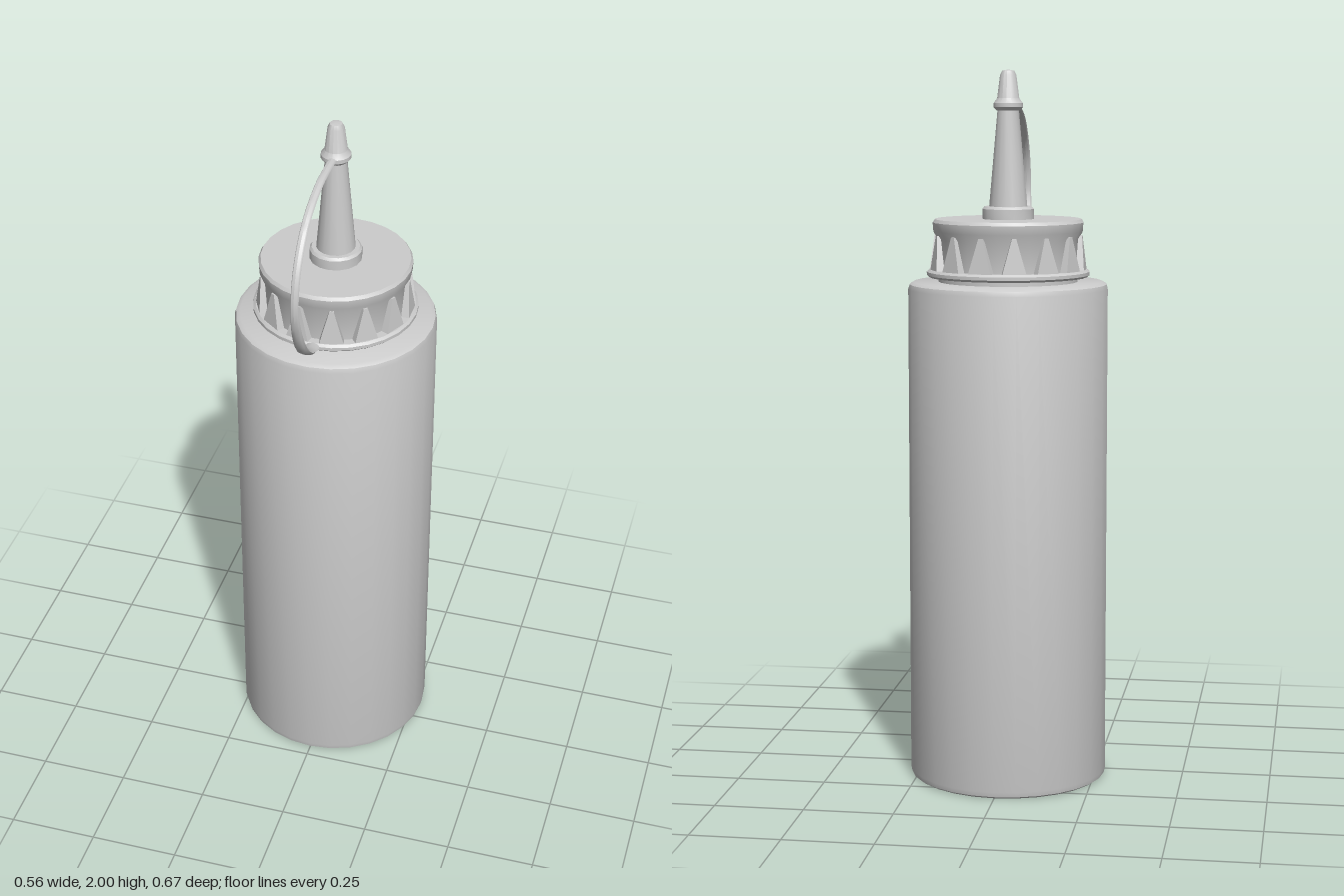
import * as THREE from 'three';
import { toCreasedNormals } from 'three/addons/utils/BufferGeometryUtils.js';

const material = new THREE.MeshStandardMaterial({ color: 0xcccccc });

function part(name, geometry, parent, crease = 0.6) {
  const mesh = new THREE.Mesh(toCreasedNormals(geometry, crease), material);
  mesh.name = name;
  parent.add(mesh);
  return mesh;
}

// Turned part from [radius, height] pairs, listed bottom to top
function turned(name, profile, sides, parent) {
  const points = profile.map(([r, y]) => new THREE.Vector2(r, y));
  return part(name, new THREE.LatheGeometry(points, sides), parent);
}

// Grip tooth: broad and proud at the foot, tapering to a point on the cap wall
function toothGeometry() {
  const s = new THREE.Shape([
    new THREE.Vector2(-0.034, 1.445), new THREE.Vector2(0.034, 1.445),
    new THREE.Vector2(0.006, 1.545), new THREE.Vector2(-0.006, 1.545),
  ]);
  const g = new THREE.ExtrudeGeometry(s, { depth: 0.03, bevelEnabled: false });
  const p = g.attributes.position;
  for (let i = 0; i < p.count; i++) {
    const up = (p.getY(i) - 1.445) / 0.1;
    p.setZ(i, p.getZ(i) > 0.01 ? 0.217 - 0.009 * up : 0.185);
  }
  return g;
}

export function createModel() {
  const model = new THREE.Group();
  model.name = 'squeezeBottle';
  const bottle = new THREE.Group();
  bottle.name = 'bottle';
  bottle.position.z = -0.057;
  model.add(bottle);

  turned('body', [
    [0, 0], [0.268, 0], [0.277, 0.006], [0.28, 0.02], [0.28, 1.395],
    [0.276, 1.408], [0.264, 1.415], [0, 1.415],
  ], 28, bottle);
  turned('neck', [[0.195, 1.41], [0.195, 1.44]], 28, bottle);

  // Screw cap with a strap ring at its foot
  turned('cap', [
    [0, 1.435], [0.198, 1.435], [0.198, 1.535], [0.209, 1.555],
    [0.211, 1.58], [0.205, 1.589], [0, 1.589],
  ], 28, bottle);
  turned('capRing', [
    [0.19, 1.428], [0.221, 1.428], [0.228, 1.434], [0.228, 1.443],
    [0.221, 1.449], [0.19, 1.449],
  ], 28, bottle);
  const teeth = new THREE.Group();
  teeth.name = 'gripTeeth';
  bottle.add(teeth);
  const count = 14;
  for (let i = 0; i < count; i++) {
    part('gripTooth', toothGeometry(), teeth).rotation.y = ((i + 0.5) / count) * Math.PI * 2;
  }

  // Spout
  turned('spoutCollar', [
    [0, 1.585], [0.072, 1.585], [0.072, 1.617], [0.066, 1.624], [0, 1.624],
  ], 16, bottle);
  turned('spout', [[0.054, 1.62], [0.03, 1.89]], 16, bottle);
  turned('tipCap', [
    [0, 1.888], [0.032, 1.888], [0.041, 1.897], [0.041, 1.908], [0.031, 1.922],
    [0.023, 1.985], [0.017, 1.997], [0, 2],
  ], 16, bottle);

  // Strap looping from the tip cap down to the ring, wider toward its foot
  const path = new THREE.CatmullRomCurve3([
    [-0.035, 1.904], [0.04, 1.905], [0.11, 1.898], [0.22, 1.855], [0.3, 1.765],
    [0.327, 1.66], [0.305, 1.565], [0.255, 1.485], [0.2, 1.449], [0.15, 1.439],
  ].map(([z, y]) => new THREE.Vector3(0, y, z)));
  const strap = new THREE.TubeGeometry(path, 40, 0.0085, 8);
  const p = strap.attributes.position;
  for (let i = 0; i < p.count; i++) {
    const low = THREE.MathUtils.clamp((1.65 - p.getY(i)) / 0.2, 0, 1);
    p.setX(i, p.getX(i) * (1.3 + 1.1 * low));
  }
  part('strap', strap, model, 0.9);

  return model;
}
